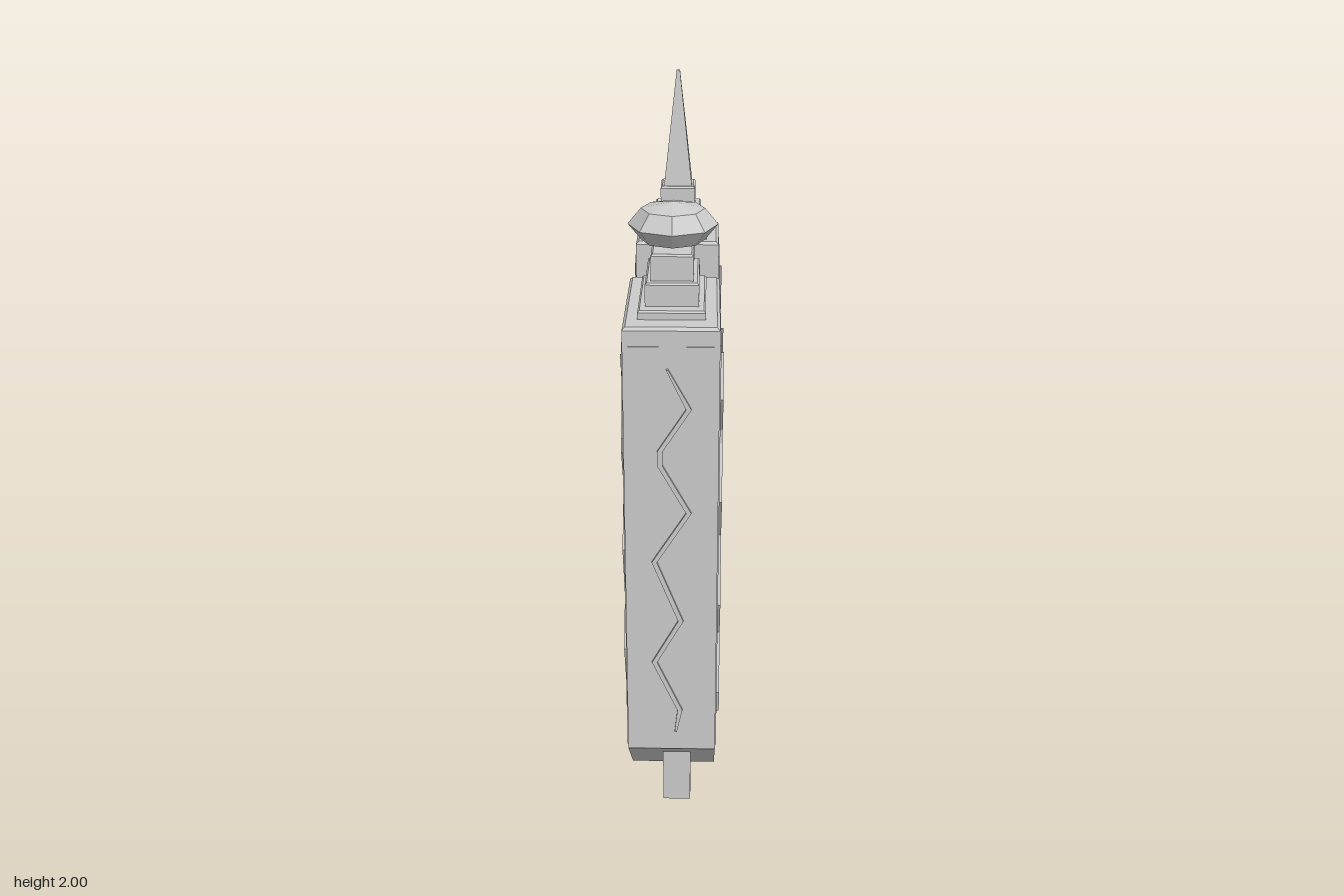
import * as THREE from 'three';

const material = new THREE.MeshStandardMaterial({ color: 0xcccccc, flatShading: true });

function add(parent, name, geometry, x = 0, y = 0, z = 0) {
  const mesh = new THREE.Mesh(geometry, material);
  mesh.name = name;
  mesh.position.set(x, y, z);
  parent.add(mesh);
  return mesh;
}

// Block given by its bottom and top heights
function block(parent, name, w, d, y0, y1, x, z) {
  return add(parent, name, new THREE.BoxGeometry(w, y1 - y0, d), x, (y0 + y1) / 2, z);
}

// Block whose top edges are chamfered
function chamferedBlock(parent, name, w, d, y0, y1, z, bevel = 0.008) {
  const h = y1 - y0;
  const geometry = new THREE.BoxGeometry(w, h, d, 1, 2, 1);
  const p = geometry.attributes.position;
  for (let i = 0; i < p.count; i++) {
    if (Math.abs(p.getY(i)) < 1e-6) p.setY(i, h / 2 - bevel);
    else if (p.getY(i) > 0) {
      p.setX(i, p.getX(i) - Math.sign(p.getX(i)) * bevel);
      p.setZ(i, p.getZ(i) - Math.sign(p.getZ(i)) * bevel);
    }
  }
  geometry.computeVertexNormals();
  return add(parent, name, geometry, 0, (y0 + y1) / 2, z);
}

// Zigzag centre line: sideways offset and height
const zigzag = [
  [-0.01, 1.40], [0.046, 1.29], [-0.03, 1.17], [-0.03, 1.13], [0.047, 0.99], [-0.046, 0.84],
  [0.026, 0.655], [-0.047, 0.52], [0.024, 0.36], [0.012, 0.285],
];

// Thin panel with a raised zigzag ridge, facing local +z
function ornament(parent, width, x, z, angle, side) {
  const group = new THREE.Group();
  group.name = 'zigzagPanel';
  group.position.set(x, 0, z);
  group.rotation.y = angle;
  block(group, 'panel', width, 0.008, 0.225, 1.46, 0, 0);
  const last = zigzag.length - 1;
  const edge = (s) => zigzag.map(([u, y], i) =>
    new THREE.Vector2(side * u + s * (i === 0 || i === last ? 0.003 : 0.007), y));
  const outline = new THREE.Shape([...edge(-1), ...edge(1).reverse()]);
  add(group, 'zigzagRidge', new THREE.ExtrudeGeometry(outline, { depth: 0.012, bevelEnabled: false }));
  parent.add(group);
}

// Stepped cap from [width, depth, bottom, top] rows
function steppedCap(parent, z, steps) {
  steps.forEach(([w, d, y0, y1]) => chamferedBlock(parent, 'capStep', w, d, y0, y1, z, 0.005));
}

export function createModel() {
  const model = new THREE.Group();
  model.name = 'twinTowers';

  // Front tower with its sloping underside
  const front = new THREE.Group();
  front.name = 'frontTower';
  model.add(front);
  const profile = new THREE.Shape([[0.08, 0.01], [0.08, 1.48], [0.505, 1.48], [0.505, 0.22], [0.29, 0.01]]
    .map(([z, y]) => new THREE.Vector2(-z, y)));
  const body = add(front, 'frontTowerBody',
    new THREE.ExtrudeGeometry(profile, { depth: 0.25, bevelEnabled: false }), -0.125);
  body.rotation.y = Math.PI / 2;
  chamferedBlock(front, 'frontTowerTop', 0.25, 0.425, 1.48, 1.51, 0.2925);
  steppedCap(front, 0.29, [
    [0.176, 0.306, 1.51, 1.533], [0.14, 0.23, 1.533, 1.595], [0.11, 0.19, 1.595, 1.665],
  ]);
  const gem = add(front, 'facetedGem', new THREE.SphereGeometry(0.118, 8, 4), 0, 1.72, 0.29);
  gem.scale.y = 0.5;
  block(front, 'supportPost', 0.08, 0.065, 0, 0.21, 0.014, 0.4225);

  // Back tower with a pointed spire
  const back = new THREE.Group();
  back.name = 'backTower';
  model.add(back);
  chamferedBlock(back, 'backTowerBody', 0.25, 0.245, 0.01, 1.51, -0.3825);
  steppedCap(back, -0.382, [
    [0.176, 0.19, 1.51, 1.533], [0.14, 0.145, 1.533, 1.595], [0.104, 0.104, 1.595, 1.662],
  ]);
  const spire = new THREE.CylinderGeometry(0.007, 0.06, 0.342, 4);
  spire.rotateY(Math.PI / 4);
  add(back, 'spire', spire, 0, 1.829, -0.382);
  block(back, 'smallDoor', 0.016, 0.08, 0.01, 0.09, 0.125, -0.41);

  // Zigzag panels on the outer faces
  ornament(front, 0.22, 0, 0.503, 0, 1);
  ornament(back, 0.22, 0, -0.503, Math.PI, 1);
  for (const s of [-1, 1]) {
    const angle = s * Math.PI / 2;
    ornament(front, 0.196, s * 0.124, 0.393, angle, -1);
    ornament(front, 0.196, s * 0.124, 0.19, angle, 1);
    ornament(back, 0.215, s * 0.124, -0.385, angle, 1);
  }

  // Bridges made of alternating wide and narrow bands
  const bands = [
    [1.015, 1.105, 0.15], [0.865, 1.015, 0.138],
    [0.595, 0.67, 0.15], [0.54, 0.595, 0.138], [0.44, 0.54, 0.15], [0.235, 0.44, 0.138],
  ];
  bands.forEach(([y0, y1, w]) => block(model, 'bridgeBand', w, 0.36, y0, y1, 0, -0.09));

  return model;
}
